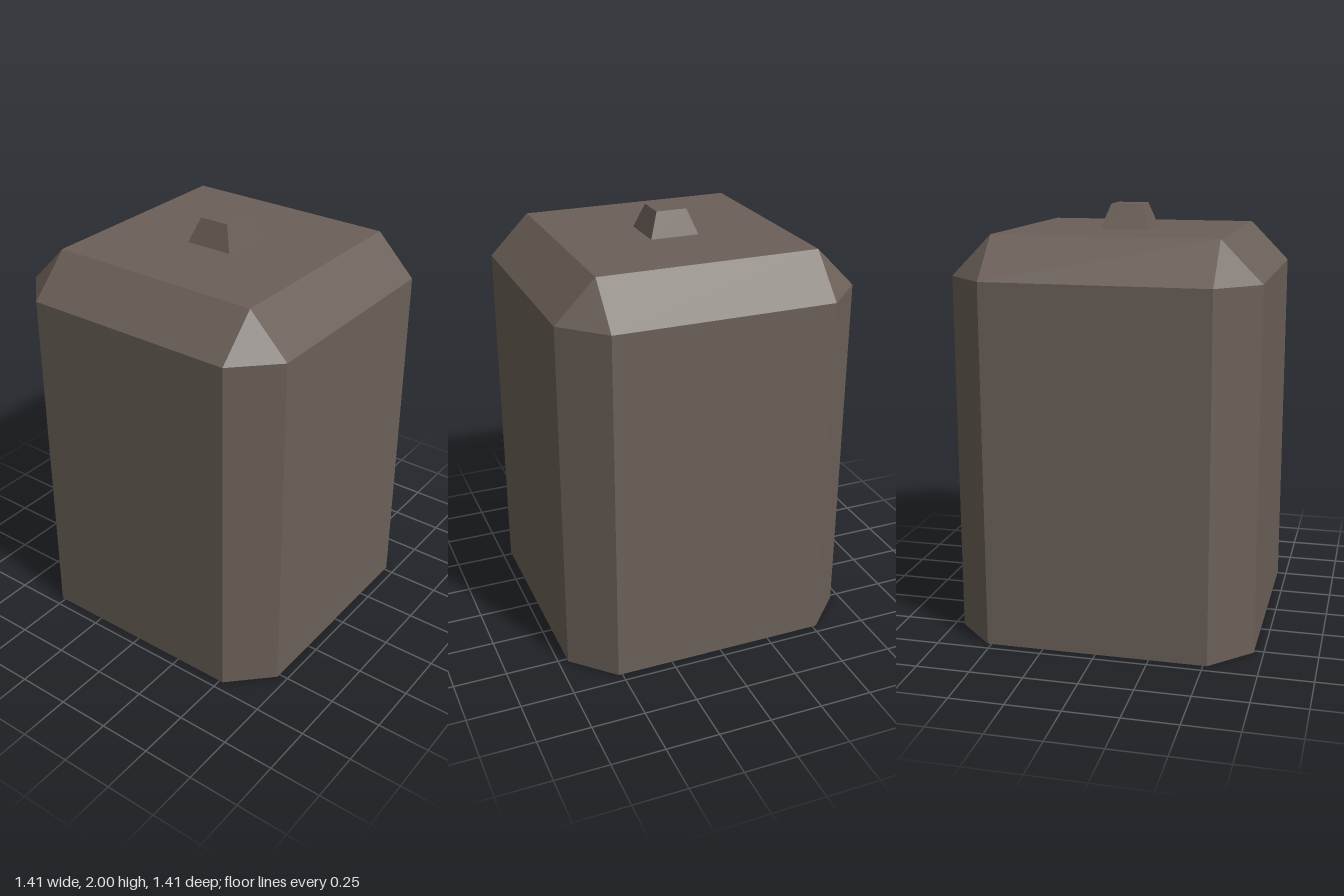
import * as THREE from 'three';

// Square ring with cut corners, listed around the y axis: half width, half flat length, height
function ring(half, flat, y) {
  const points = [];
  for (let i = 0; i < 4; i++) {
    const c = [1, 0, -1, 0][i], s = [0, 1, 0, -1][i];
    for (const t of [-flat, flat]) {
      points.push(new THREE.Vector3(half * c - t * s, y, half * s + t * c));
    }
  }
  return points;
}

// Faceted shell through the rings, open below and capped on top
function shell(rings) {
  const positions = [];
  const tri = (a, b, c) => {
    if (new THREE.Triangle(a, b, c).getArea() < 1e-6) return;
    for (const p of [a, b, c]) positions.push(p.x, p.y, p.z);
  };
  for (let r = 0; r < rings.length - 1; r++) {
    const lower = rings[r], upper = rings[r + 1];
    for (let i = 0; i < 8; i++) {
      const j = (i + 1) % 8;
      tri(lower[i], upper[i], lower[j]);
      tri(upper[i], upper[j], lower[j]);
    }
  }
  const top = rings[rings.length - 1];
  for (let i = 1; i < 7; i++) tri(top[0], top[i + 1], top[i]);
  const geometry = new THREE.BufferGeometry();
  geometry.setAttribute('position', new THREE.Float32BufferAttribute(positions, 3));
  geometry.computeVertexNormals();
  return geometry;
}

export function createModel() {
  const model = new THREE.Group();
  model.name = 'bevelledCanister';

  const brown = new THREE.MeshStandardMaterial({
    color: 0x6b6058, flatShading: true, side: THREE.DoubleSide,
  });
  brown.name = 'dull brown';

  // Hollow body with cut corners and a bevelled shoulder, open at the bottom
  const body = new THREE.Mesh(
    shell([ring(0.705, 0.518, 0), ring(0.705, 0.518, 1.695), ring(0.518, 0.518, 1.885)]), brown);
  body.name = 'body';

  // Small tapered knob on the roof
  const knob = new THREE.Mesh(
    shell([ring(0.116, 0.116, 1.885), ring(0.073, 0.073, 2)]), brown);
  knob.name = 'knob';

  model.add(body, knob);
  return model;
}
